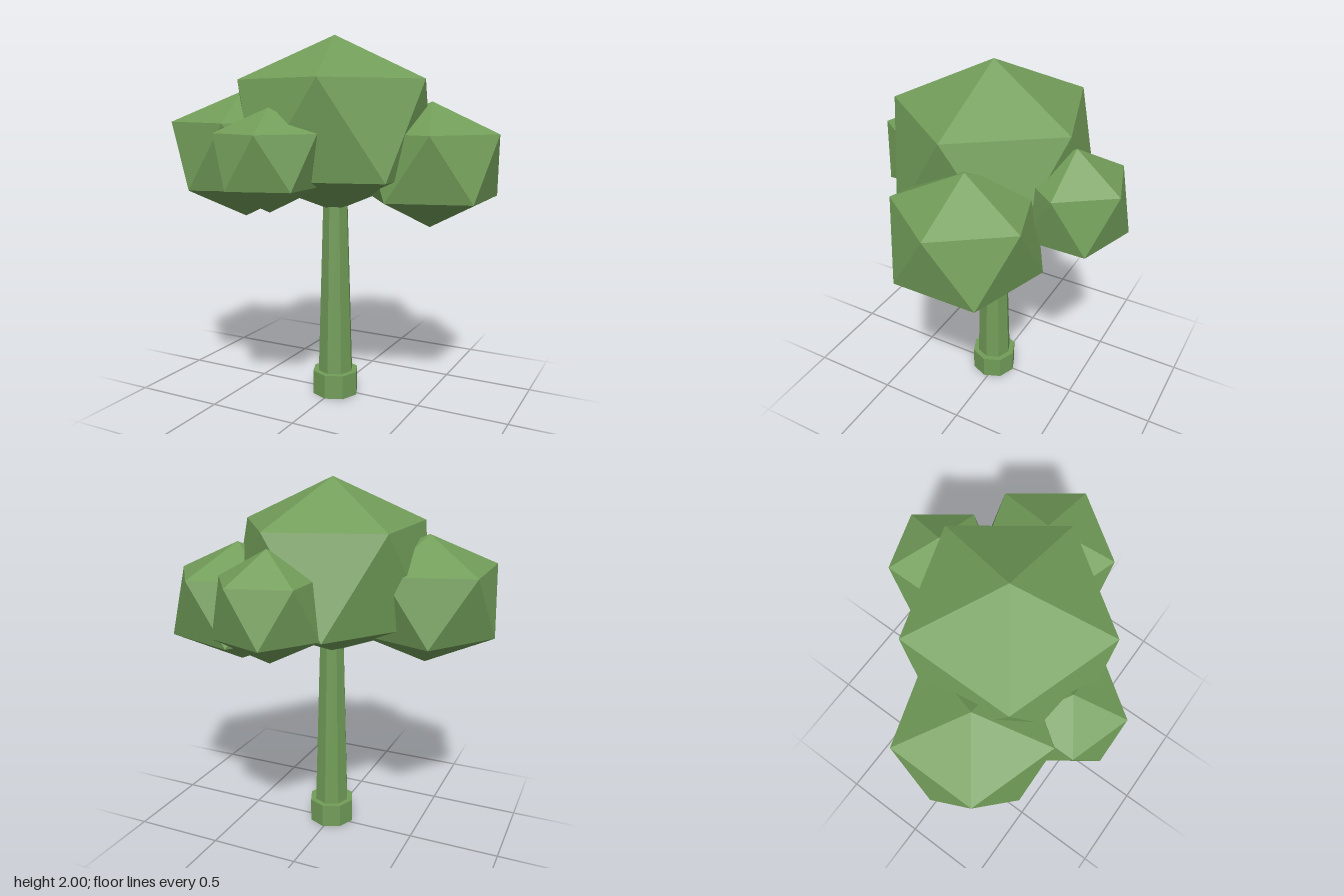
import * as THREE from 'three';
import { ConvexGeometry } from 'three/addons/geometries/ConvexGeometry.js';

const leafGreen = new THREE.MeshStandardMaterial({ color: 0x729d59, flatShading: true });
leafGreen.name = 'leafGreen';

// Leaf clump: two poles and two staggered five-point rings
function clump(name, { x, z, top, upper, lower, bottom, rUpper, rLower }) {
  const points = [new THREE.Vector3(x, top, z), new THREE.Vector3(x, bottom, z)];
  for (let i = 0; i < 5; i++) {
    const a = (i * 2 * Math.PI) / 5;
    const b = a + Math.PI / 5;
    points.push(
      new THREE.Vector3(x + rUpper * Math.cos(a), upper, z + rUpper * Math.sin(a)),
      new THREE.Vector3(x + rLower * Math.cos(b), lower, z + rLower * Math.sin(b))
    );
  }
  const mesh = new THREE.Mesh(new ConvexGeometry(points), leafGreen);
  mesh.name = name;
  return mesh;
}

// Eight-sided trunk section standing between two heights
function trunkSection(name, rTop, rBottom, y0, y1) {
  const mesh = new THREE.Mesh(new THREE.CylinderGeometry(rTop, rBottom, y1 - y0, 8), leafGreen);
  mesh.position.set(0.005, (y0 + y1) / 2, 0.022);
  mesh.name = name;
  return mesh;
}

export function createModel() {
  const tree = new THREE.Group();
  tree.name = 'tree';

  // Trunk and its foot
  tree.add(trunkSection('trunkFoot', 0.132, 0.132, 0, 0.135));
  tree.add(trunkSection('trunk', 0.07, 0.101, 0.1, 1.12));

  // Canopy
  tree.add(
    clump('crown', { x: 0, z: 0.02, top: 2, upper: 1.763, lower: 1.255, bottom: 1.05, rUpper: 0.52, rLower: 0.55 }),
    clump('rightClump', { x: -0.49, z: 0.17, top: 1.71, upper: 1.54, lower: 1.185, bottom: 1.01, rUpper: 0.395, rLower: 0.375 }),
    clump('leftClump', { x: 0.51, z: -0.11, top: 1.65, upper: 1.485, lower: 1.145, bottom: 0.98, rUpper: 0.365, rLower: 0.375 }),
    clump('frontClump', { x: -0.13, z: 0.48, top: 1.62, upper: 1.495, lower: 1.225, bottom: 1.095, rUpper: 0.275, rLower: 0.275 }),
    clump('backClump', { x: 0.12, z: -0.49, top: 1.69, upper: 1.54, lower: 1.26, bottom: 1.115, rUpper: 0.275, rLower: 0.28 })
  );
  return tree;
}
